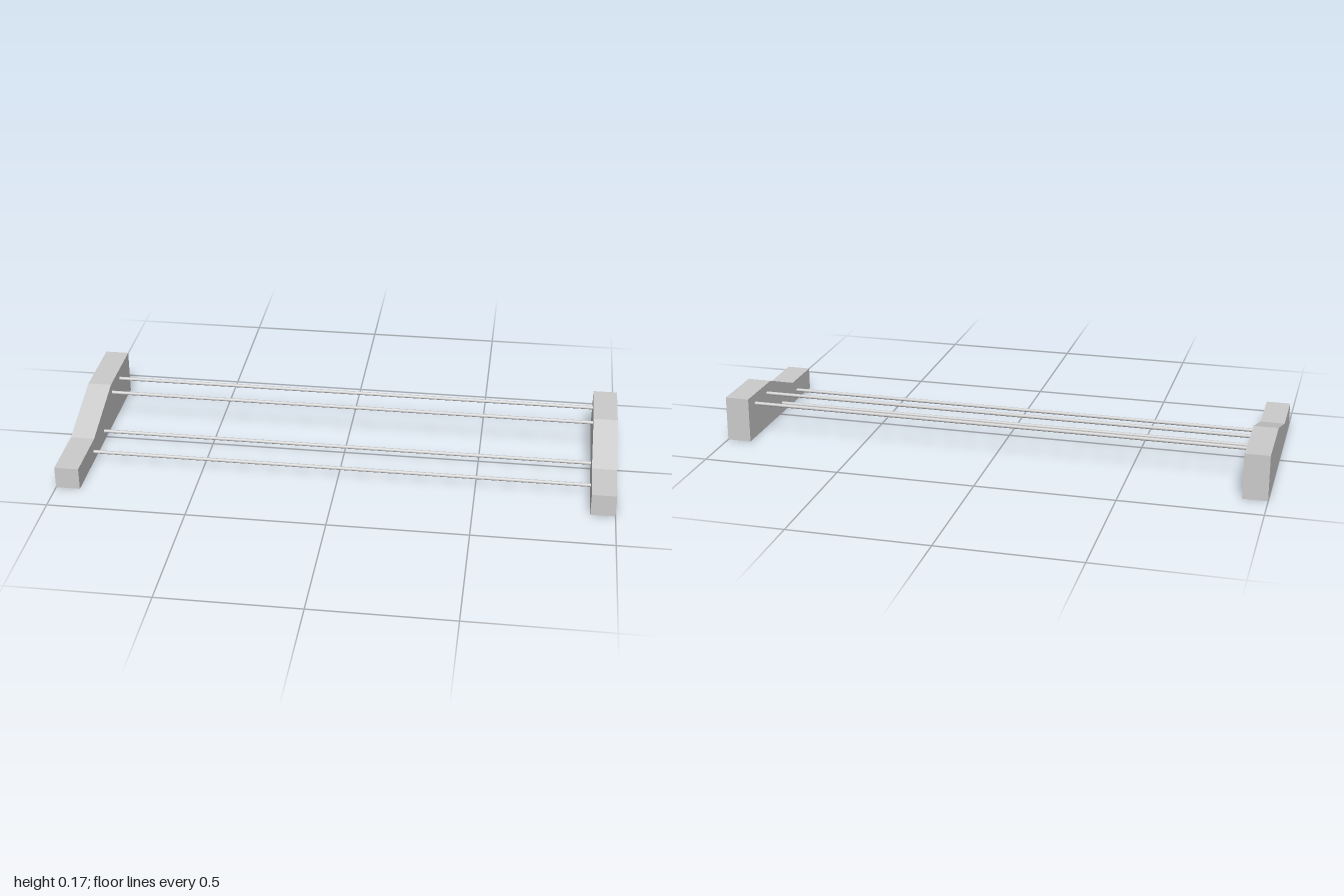
import * as THREE from 'three';

const material = new THREE.MeshStandardMaterial({ color: 0xcccccc });
const LOW = 0.082, HIGH = 0.165, THICK = 0.088;

// Stepped end block: low at the front, ramping up to a tall back
function endBlock(name, centerX, back, rampTop, rampFoot, front) {
  // Profile is drawn with its horizontal axis along -z
  const shape = new THREE.Shape([
    [-front, 0], [-back, 0], [-back, HIGH], [-rampTop, HIGH], [-rampFoot, LOW], [-front, LOW],
  ].map(([u, y]) => new THREE.Vector2(u, y)));
  const geometry = new THREE.ExtrudeGeometry(shape, { depth: THICK, bevelEnabled: false });
  geometry.translate(0, 0, -THICK / 2).rotateY(Math.PI / 2);
  const mesh = new THREE.Mesh(geometry, material);
  mesh.name = name;
  mesh.position.x = centerX;
  return mesh;
}

export function createModel() {
  const group = new THREE.Group();
  group.name = 'rodFrame';

  // The right block is longer than the left one
  group.add(endBlock('rightEndBlock', -1 + THICK / 2, -0.38, -0.11, 0.16, 0.38));
  group.add(endBlock('leftEndBlock', 1 - THICK / 2, -0.298, -0.083, 0.135, 0.315));

  // Two high rods at the back, two low rods at the front
  const rodGeometry = new THREE.CylinderGeometry(0.0065, 0.0065, 1.86, 16).rotateZ(Math.PI / 2);
  [[0.128, -0.234], [0.128, -0.119], [0.038, 0.023], [0.038, 0.178]].forEach(([y, z], i) => {
    const rod = new THREE.Mesh(rodGeometry, material);
    rod.name = `rod${i + 1}`;
    rod.position.set(0, y, z);
    group.add(rod);
  });
  return group;
}
